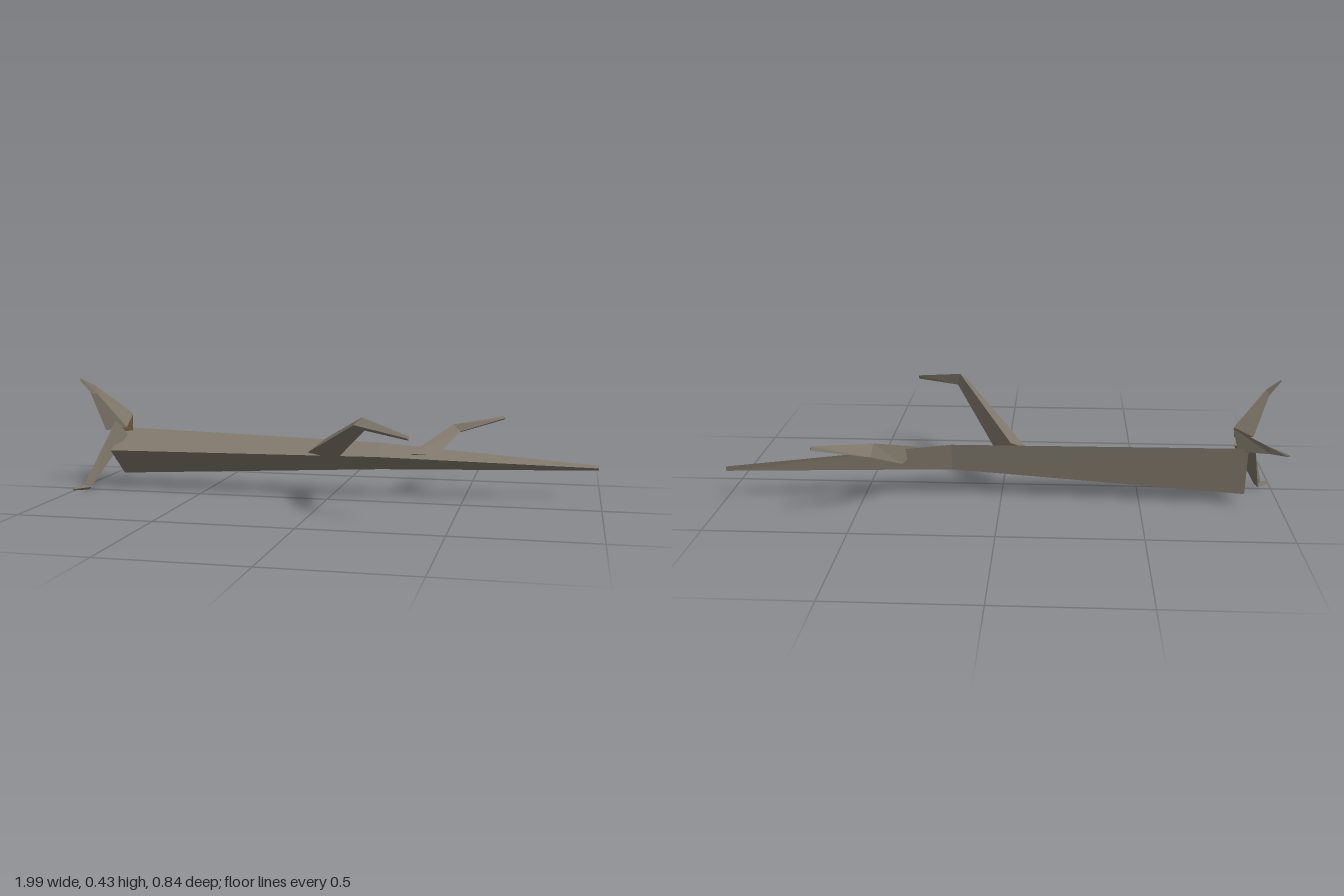
import * as THREE from 'three';

const bark = new THREE.MeshStandardMaterial({ color: 0x80786b, flatShading: true });
bark.name = 'bark';
const wood = new THREE.MeshStandardMaterial({ color: 0x9c7b52, flatShading: true });
wood.name = 'bareWood';

// Skin a row of three-cornered rings with bark and close both ends with bare wood.
function limb(name, rings) {
  const sides = [], caps = [];
  const last = rings[rings.length - 1];
  for (let r = 0; r < rings.length - 1; r++) {
    for (let i = 0; i < 3; i++) {
      const j = (i + 1) % 3;
      const a = rings[r][i], b = rings[r][j], c = rings[r + 1][j], d = rings[r + 1][i];
      sides.push([a, b, c], [a, c, d]);
    }
  }
  caps.push([rings[0][2], rings[0][1], rings[0][0]], last);

  // Turn every face outwards when the rings wind the other way.
  const v = (p) => new THREE.Vector3(...p);
  const centre = v(rings[0][0]);
  let volume = 0;
  for (const [a, b, c] of [...sides, ...caps]) {
    volume += v(a).sub(centre).dot(v(b).sub(centre).cross(v(c).sub(centre)));
  }
  const flat = [...sides, ...caps].map(([a, b, c]) => (volume < 0 ? [a, c, b] : [a, b, c])).flat(2);

  const geometry = new THREE.BufferGeometry();
  geometry.setAttribute('position', new THREE.Float32BufferAttribute(flat, 3));
  geometry.addGroup(0, sides.length * 3, 0);
  geometry.addGroup(sides.length * 3, caps.length * 3, 1);
  geometry.computeVertexNormals();
  const mesh = new THREE.Mesh(geometry, [bark, wood]);
  mesh.name = name;
  return mesh;
}

export function createModel() {
  const tree = new THREE.Group();
  tree.name = 'fallenTree';

  // Long tapering trunk lying along x
  tree.add(limb('trunk', [
    [[-0.875, 0.04, -0.163], [-0.875, 0.152, -0.027], [-0.875, 0.222, -0.193]],
    [[0.18, 0.1, -0.125], [0.18, 0.16, -0.042], [0.18, 0.2, -0.14]],
    [[0.99, 0.11, -0.212], [0.99, 0.12, -0.202], [0.99, 0.128, -0.216]],
  ]));

  // Two bent branches
  tree.add(limb('frontBranch', [
    [[-0.035, 0.21, -0.14], [-0.09, 0.165, -0.06], [0.0, 0.12, -0.08]],
    [[0.185, 0.35, 0.285], [0.16, 0.325, 0.307], [0.195, 0.305, 0.29]],
    [[0.366, 0.307, 0.412], [0.36, 0.301, 0.42], [0.365, 0.293, 0.414]],
  ]));
  tree.add(limb('backBranch', [
    [[0.3, 0.17, -0.08], [0.4, 0.165, -0.12], [0.355, 0.135, -0.175]],
    [[0.435, 0.256, -0.305], [0.465, 0.228, -0.315], [0.44, 0.215, -0.335]],
    [[0.625, 0.28, -0.418], [0.63, 0.272, -0.415], [0.626, 0.266, -0.422]],
  ]));

  // Three roots fanning out from the foot of the trunk
  tree.add(limb('upperRoot', [
    [[-0.825, 0.285, -0.146], [-0.835, 0.235, -0.1], [-0.91, 0.225, -0.07]],
    [[-0.945, 0.402, -0.06], [-0.935, 0.37, -0.055], [-0.96, 0.375, -0.045]],
    [[-1, 0.434, -0.041], [-0.995, 0.428, -0.04], [-1, 0.425, -0.038]],
  ]));
  tree.add(limb('backRoot', [
    [[-0.825, 0.28, -0.142], [-0.84, 0.205, -0.175], [-0.935, 0.22, -0.135]],
    [[-0.935, 0.25, -0.255], [-0.94, 0.225, -0.255], [-0.965, 0.235, -0.235]],
    [[-1, 0.232, -0.286], [-0.995, 0.226, -0.286], [-1, 0.224, -0.28]],
  ]));
  tree.add(limb('lowerRoot', [
    [[-0.87, 0.265, -0.075], [-0.835, 0.207, -0.11], [-0.915, 0.18, -0.11]],
    [[-0.965, 0.02, 0.03], [-0.94, 0.012, 0.02], [-0.955, 0.0, 0.013]],
    [[-1, 0.01, 0.055], [-0.992, 0.008, 0.055], [-1, 0.002, 0.053]],
  ]));

  return tree;
}
